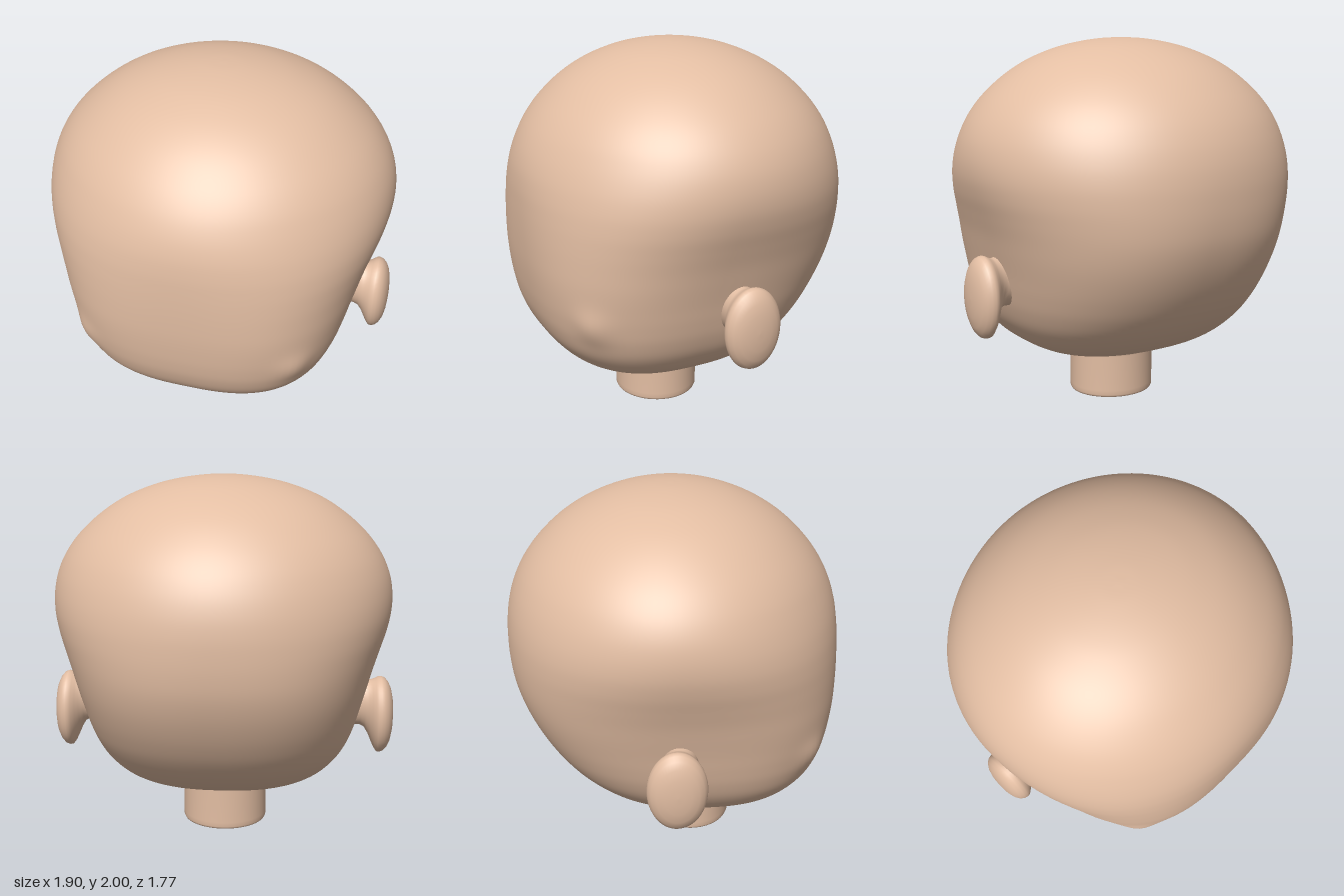
import * as THREE from 'three';

const skin = new THREE.MeshStandardMaterial({ color: 0xe3bea3 });
skin.name = 'skin';

// Head sections, top to bottom: y, half width, front z, back z
const SECTIONS = [
  [2, 0, 0, 0], [1.995, 0.113, 0.102, -0.102], [1.975, 0.25, 0.227, -0.227], [1.94, 0.385, 0.347, -0.347],
  [1.88, 0.53, 0.48, -0.482], [1.8, 0.655, 0.601, -0.605], [1.7, 0.767, 0.706, -0.711],
  [1.6, 0.844, 0.782, -0.787], [1.5, 0.892, 0.834, -0.838], [1.4, 0.914, 0.866, -0.869],
  [1.3, 0.914, 0.881, -0.884], [1.2, 0.894, 0.886, -0.887], [1.1, 0.862, 0.887, -0.882],
  [1, 0.83, 0.885, -0.867], [0.9, 0.803, 0.88, -0.838], [0.8, 0.777, 0.87, -0.797],
  [0.7, 0.753, 0.855, -0.745], [0.6, 0.724, 0.83, -0.68], [0.5, 0.68, 0.785, -0.595],
  [0.41, 0.613, 0.71, -0.49], [0.35, 0.537, 0.625, -0.39], [0.31, 0.455, 0.53, -0.285],
  [0.285, 0.36, 0.42, -0.18], [0.27, 0.22, 0.28, -0.05], [0.265, 0, 0.12, 0.12],
];

function headGeometry(rows = 120, cols = 112) {
  const spline = (k) => new THREE.CatmullRomCurve3(
    SECTIONS.map((s) => new THREE.Vector3(s[1], s[0], s[k])), false, 'catmullrom', 0.5);
  const front = spline(2), back = spline(3);
  const power = (v, n) => Math.sign(v) * Math.abs(v) ** (2 / n);
  const pos = [], index = [];
  for (let r = 0; r <= rows; r++) {
    const f = front.getPoint(r / rows), b = back.getPoint(r / rows);
    const mid = (f.z + b.z) / 2, depth = (f.z - b.z) / 2;
    // The face is squarer than the crown and the back
    const lower = 1 - THREE.MathUtils.smoothstep(f.y, 0.75, 1.55);
    const nFront = 1.97 + 0.8 * lower;
    const nBack = 1.97 + 0.42 * lower;
    for (let c = 0; c < cols; c++) {
      const a = (c / cols) * Math.PI * 2;
      const n = Math.sin(a) > 0 ? nFront : nBack;
      let x = f.x * power(Math.cos(a), n);
      let z = mid + depth * power(Math.sin(a), n);
      // Soft cheek bumps
      const d2 = (Math.abs(x) - 0.56) ** 2 + (f.y - 0.69) ** 2 + (z - 0.7) ** 2;
      const bump = 0.022 * Math.exp(-d2 / 0.009);
      x += Math.sign(x) * bump * 0.6;
      z += bump * 0.8;
      pos.push(x, f.y, z);
      if (r < rows) {
        const p = r * cols + c, q = r * cols + ((c + 1) % cols);
        if (r > 0) index.push(p, q, p + cols);
        if (r < rows - 1) index.push(q, q + cols, p + cols);
      }
    }
  }
  const g = new THREE.BufferGeometry();
  g.setAttribute('position', new THREE.Float32BufferAttribute(pos, 3));
  g.setIndex(index);
  g.computeVertexNormals();
  // Poles point straight up and down
  for (let c = 0; c < cols; c++) {
    g.attributes.normal.setXYZ(c, 0, 1, 0);
    g.attributes.normal.setXYZ(rows * cols + c, 0, -1, 0);
  }
  return g;
}

function lathe(points, segments = 48) {
  return new THREE.LatheGeometry(points.map(([r, y]) => new THREE.Vector2(r, y)), segments);
}

function part(name, geometry) {
  const mesh = new THREE.Mesh(geometry, skin);
  mesh.name = name;
  return mesh;
}

// Oval disc on a flared stalk, pointing along +x; the stalk leans up towards the head
function earGeometry() {
  const profile = [
    [0.62, 0.66], [0.62, 0.72], [0.62, 0.765], [0.64, 0.79], [0.71, 0.812], [0.82, 0.83], [0.93, 0.848],
    [0.99, 0.862], [1, 0.876], [0.97, 0.895], [0.87, 0.915], [0.7, 0.932], [0.45, 0.943], [0.2, 0.947], [0, 0.948],
  ];
  const g = lathe(profile);
  g.rotateZ(-Math.PI / 2).scale(1, 0.217, 0.153).translate(0, 0.683, -0.02);
  const p = g.attributes.position;
  for (let i = 0; i < p.count; i++) {
    const lean = 1 - THREE.MathUtils.smoothstep(p.getX(i), 0.77, 0.865);
    p.setY(i, p.getY(i) + 0.068 * lean);
    p.setZ(i, p.getZ(i) + 0.02 * lean);
  }
  g.computeVertexNormals();
  // Share normals along the seam of the lathe
  const n = g.attributes.normal, last = p.count - profile.length;
  for (let i = 0; i < profile.length; i++) {
    const v = new THREE.Vector3().fromBufferAttribute(n, i)
      .add(new THREE.Vector3().fromBufferAttribute(n, last + i)).normalize();
    n.setXYZ(i, v.x, v.y, v.z);
    n.setXYZ(last + i, v.x, v.y, v.z);
  }
  return g;
}

// Mirror a geometry in x, keeping its faces outward
function mirrored(geometry) {
  const g = geometry.clone().scale(-1, 1, 1);
  g.index.array.reverse();
  return g;
}

export function createModel() {
  const model = new THREE.Group();
  model.name = 'head';
  model.add(part('skull', headGeometry()));

  // Neck peg with a rounded lower edge and a small fillet at the top
  const neck = part('neck', lathe([
    [0, 0], [0.225, 0], [0.225, 0], [0.235, 0.004], [0.24, 0.015], [0.24, 0.04],
    [0.24, 0.24], [0.243, 0.256], [0.252, 0.268], [0.262, 0.285],
  ]));
  neck.scale.z = 0.95;
  neck.position.z = 0.105;
  model.add(neck);

  const ear = earGeometry();
  model.add(part('leftEar', ear), part('rightEar', mirrored(ear)));
  return model;
}
